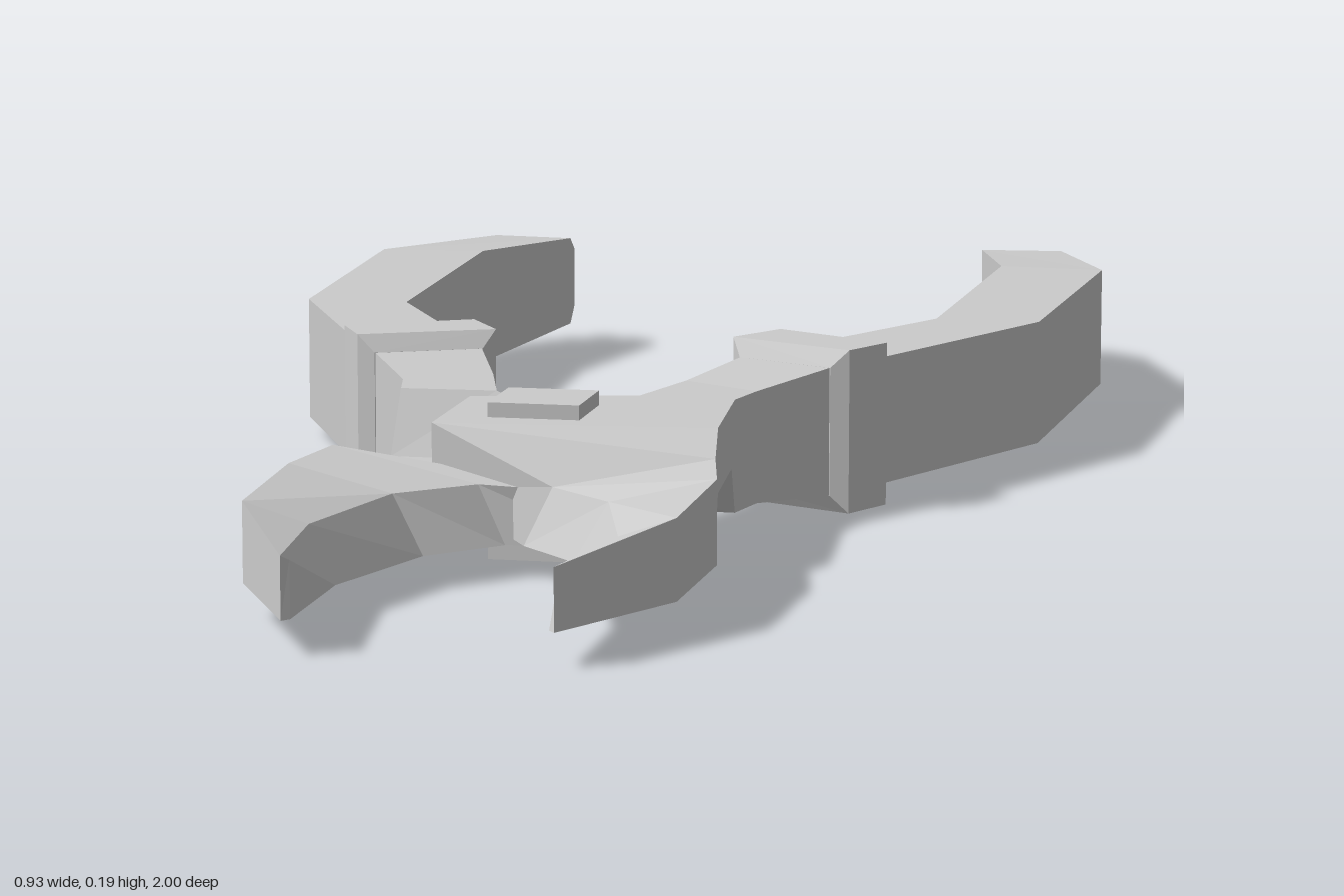
import * as THREE from 'three';

const metal = new THREE.MeshStandardMaterial({ color: 0xcccccc, flatShading: true });

// Lofts four-cornered sections running from back to front.
// Section: [innerX, innerZ, outerX, outerZ, bottomY, outerTopY, innerTopY, innerTopShiftX, innerTopShiftZ]
function loft(name, sections, side) {
  const rings = sections.map(([ix, iz, ox, oz, y0, y1, yi = y1, sx = 0, sz = 0]) => [
    [ix * side, y0, iz],
    [(ix + sx) * side, yi, iz + sz],
    [ox * side, y1, oz],
    [ox * side, y0, oz],
  ]);
  const pos = [];
  const tri = (a, b, c) => pos.push(...a, ...(side > 0 ? b : c), ...(side > 0 ? c : b));
  const quad = (a, b, c, d) => { tri(a, b, c); tri(a, c, d); };
  for (let k = 0; k < rings.length - 1; k++) {
    for (let i = 0; i < 4; i++) {
      const j = (i + 1) % 4;
      quad(rings[k][i], rings[k + 1][i], rings[k + 1][j], rings[k][j]);
    }
  }
  quad(...rings[0]);
  quad(...rings[rings.length - 1].slice().reverse());
  const geo = new THREE.BufferGeometry();
  geo.setAttribute('position', new THREE.Float32BufferAttribute(pos, 3));
  geo.computeVertexNormals();
  const mesh = new THREE.Mesh(geo, metal);
  mesh.name = name;
  return mesh;
}

// One lever: grip, collar, and a neck-joint-jaw piece; the joint halves overlap at mid height
function makeLever(side) {
  const lever = new THREE.Group();
  lever.name = side > 0 ? 'leftLever' : 'rightLever';
  const [j0, j1] = side > 0 ? [0.085, 0.155] : [0.03, 0.085];

  lever.add(loft('grip', [
    [0.28, -0.98, 0.345, -1.0, 0.055, 0.13],
    [0.277, -0.94, 0.38, -0.95, 0.035, 0.15],
    [0.337, -0.69, 0.466, -0.68, 0.02, 0.165],
    [0.323, -0.235, 0.445, -0.235, 0.02, 0.165],
    [0.185, 0.03, 0.3, 0.08, 0.02, 0.165],
  ], side));

  lever.add(loft('collar', [
    [0.18, 0.01, 0.315, 0.085, 0, 0.185],
    [0.138, 0.078, 0.283, 0.148, 0, 0.185],
    [0.149, 0.097, 0.262, 0.152, 0.02, 0.165],
  ], side));

  lever.add(loft('neckAndJaw', [
    [0.165, 0.06, 0.28, 0.115, 0.02, 0.165],
    [0.15, 0.097, 0.262, 0.15, 0.02, 0.165],
    [0.11, 0.21, 0.2, 0.265, 0.03, 0.155],
    [0.08, 0.32, 0.187, 0.325, 0.03, 0.155],
    [-0.1, 0.36, 0.19, 0.36, j0, j1],
    [-0.1, 0.535, 0.203, 0.505, j0, j1],
    [0.01, 0.58, 0.207, 0.54, 0.035, 0.128, 0.098, 0.03, -0.005],
    [0.08, 0.655, 0.228, 0.64, 0.035, 0.125, 0.098, 0.035, -0.01],
    [0.13, 0.82, 0.224, 0.83, 0.035, 0.12, 0.095, 0.03, -0.01],
    [0.13, 0.99, 0.137, 1.0, 0.035, 0.1, 0.09, 0.006, -0.02],
  ], side));
  return lever;
}

export function createModel() {
  const model = new THREE.Group();
  model.name = 'pliers';
  for (const side of [1, -1]) model.add(makeLever(side));

  // Square pivot pin through both joint halves
  const pin = new THREE.Mesh(new THREE.BoxGeometry(0.1, 0.17, 0.1), metal);
  pin.name = 'pivotPin';
  pin.position.set(0, 0.086, 0.44);
  model.add(pin);
  return model;
}
